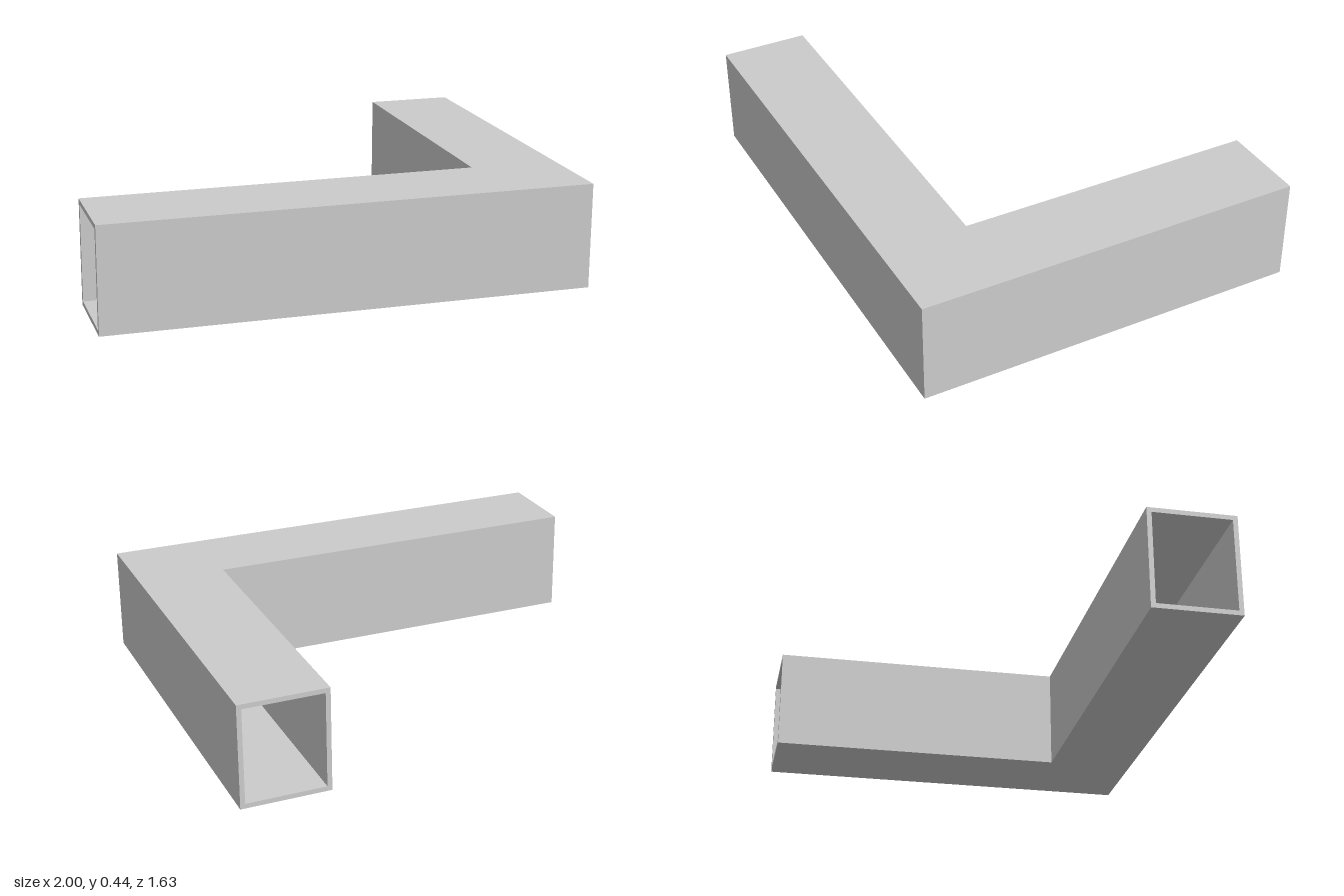
import * as THREE from 'three';

const HALF_X = 1, HALF_Z = 0.815;          // overall footprint
const WIDTH = 0.37, HEIGHT = 0.435, WALL = 0.02;

// Rectangular section as [inset from the outer side, y], shrunk by t on every side
const section = (t) => [
  [t, t], [t, HEIGHT - t], [WIDTH - t, HEIGHT - t], [WIDTH - t, t],
];

// The section placed at the open start, the mitred corner and the open end
const stations = (ring) => [
  ring.map(([u, y]) => [-HALF_X, y, HALF_Z - u]),
  ring.map(([u, y]) => [HALF_X - u, y, HALF_Z - u]),
  ring.map(([u, y]) => [HALF_X - u, y, -HALF_Z]),
];

function elbowGeometry() {
  const positions = [];
  const quad = (a, b, c, d) => positions.push(...a, ...b, ...c, ...a, ...c, ...d);
  const outer = stations(section(0));
  const inner = stations(section(WALL));

  for (let i = 0; i < 4; i++) {
    const j = (i + 1) % 4;
    // outer and inner skins of both arms
    for (let s = 0; s < 2; s++) {
      quad(outer[s][i], outer[s + 1][i], outer[s + 1][j], outer[s][j]);
      quad(inner[s][j], inner[s + 1][j], inner[s + 1][i], inner[s][i]);
    }
    // wall rims at the two open ends
    quad(outer[0][i], outer[0][j], inner[0][j], inner[0][i]);
    quad(inner[2][i], inner[2][j], outer[2][j], outer[2][i]);
  }

  const geometry = new THREE.BufferGeometry();
  geometry.setAttribute('position', new THREE.Float32BufferAttribute(positions, 3));
  geometry.computeVertexNormals();
  return geometry;
}

export function createModel() {
  const group = new THREE.Group();
  group.name = 'elbowDuct';
  const duct = new THREE.Mesh(
    elbowGeometry(),
    new THREE.MeshStandardMaterial({ color: 0xcccccc, flatShading: true }),
  );
  duct.name = 'hollowElbowTube';
  group.add(duct);
  return group;
}
